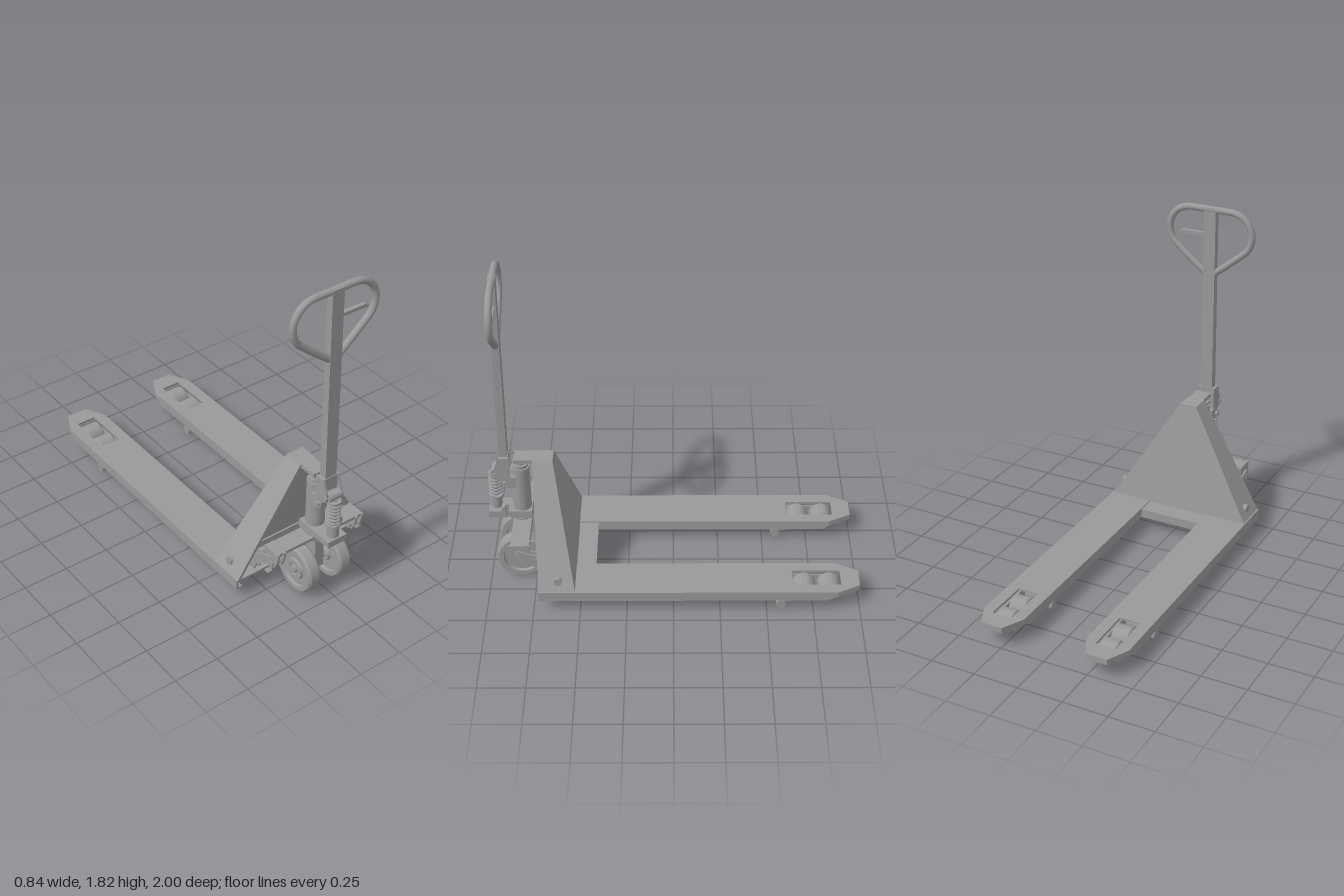
import * as THREE from 'three';
import { toCreasedNormals } from 'three/addons/utils/BufferGeometryUtils.js';

const paint = new THREE.MeshStandardMaterial({ color: 0x999999, side: THREE.DoubleSide });

function add(parent, name, geo, x = 0, y = 0, z = 0) {
  const m = new THREE.Mesh(geo, paint);
  m.name = name;
  m.position.set(x, y, z);
  parent.add(m);
  return m;
}
// Box given by its lower and upper limits on each axis
function box(parent, name, [x0, x1], [y0, y1], [z0, z1]) {
  return add(parent, name, new THREE.BoxGeometry(x1 - x0, y1 - y0, z1 - z0),
    (x0 + x1) / 2, (y0 + y1) / 2, (z0 + z1) / 2);
}
// Cylinder lying along x or standing along y
function cyl(parent, name, axis, r, len, x, y, z, r2 = r) {
  const g = new THREE.CylinderGeometry(r2, r, len, 28);
  if (axis === 'x') g.rotateZ(-Math.PI / 2);
  return add(parent, name, g, x, y, z);
}
const poly = pts => new THREE.Shape(pts.map(p => new THREE.Vector2(...p)));
const slab = (shape, depth) => new THREE.ExtrudeGeometry(shape, { depth, bevelEnabled: false });
// Side profile of (z, y) points, given a width in x
function profile(parent, name, pts, w, x) {
  return add(parent, name, slab(poly(pts), w).translate(0, 0, -w / 2).rotateY(-Math.PI / 2), x);
}
// Plan outline of (x, z) points, extruded down from yTop
function plan(parent, name, shape, yTop, h) {
  return add(parent, name, slab(shape, h).rotateX(Math.PI / 2), 0, yTop, 0);
}
function rod(parent, name, pts, r, seg = 8) {
  const c = new THREE.CatmullRomCurve3(pts.map(p => new THREE.Vector3(...p)), false, 'centripetal');
  return add(parent, name, new THREE.TubeGeometry(c, seg, r, 12, false));
}
// Wheel turned about x from (radius, offset) points
function wheel(parent, name, pts, x, y, z) {
  const g = new THREE.LatheGeometry(pts.map(p => new THREE.Vector2(...p)), 48).rotateZ(-Math.PI / 2);
  return add(parent, name, toCreasedNormals(g, 0.6), x, y, z);
}

function buildFork(s) {
  const g = new THREE.Group();
  g.name = s > 0 ? 'leftFork' : 'rightFork';
  const X = (a, b) => (s > 0 ? [a, b] : [-b, -a]);
  const flip = pts => pts.map(([x, z]) => [s * x, z]);
  // Top plate with the roller window
  const top = poly(flip([[0.18, 0.72], [0.18, -0.88], [0.24, -1], [0.36, -1], [0.42, -0.88], [0.42, 0.72]]));
  top.holes.push(poly(flip([[0.243, -0.64], [0.357, -0.64], [0.357, -0.9], [0.243, -0.9]])));
  plan(g, 'forkPlate', top, 0.125, 0.012);
  // Skirt round the tip and the two deep side walls
  plan(g, 'forkSkirt', poly(flip([[0.18, 0.72], [0.18, -0.88], [0.24, -1], [0.36, -1], [0.42, -0.88], [0.42, 0.72],
    [0.408, 0.72], [0.408, -0.875], [0.353, -0.988], [0.247, -0.988], [0.192, -0.875], [0.192, 0.72]])), 0.113, 0.02);
  for (const x of [0.18, 0.408]) {
    profile(g, 'forkWall', [[0.72, 0.095], [0.72, 0.068], [-0.82, 0.068], [-0.88, 0.095]], 0.012, s * (x + 0.006));
    const lip = x < 0.3 ? [0.19, 0.215] : [0.385, 0.41];
    box(g, 'forkLip', X(...lip), [0.068, 0.078], [-0.5, 0.72]);
  }
  box(g, 'forkRib', X(0.19, 0.41), [0.07, 0.115], [0.5, 0.512]);
  // Load roller carriage
  for (const x of [0.239, 0.361])
    profile(g, 'rollerBracket', [[-0.54, 0.065], [-0.54, 0.03], [-0.6, 0.012], [-0.7, 0.03], [-0.84, 0.03],
      [-0.89, 0.05], [-0.89, 0.09], [-0.6, 0.1]], 0.01, s * x);
  for (const z of [-0.705, -0.84]) {
    wheel(g, 'loadRoller', [[0, -0.052], [0.05, -0.052], [0.062, -0.042], [0.062, 0.042], [0.05, 0.052], [0, 0.052]],
      s * 0.3, 0.063, z);
    cyl(g, 'rollerAxle', 'x', 0.014, 0.15, s * 0.3, 0.062, z);
  }
  cyl(g, 'rockerShaft', 'x', 0.018, 0.23, s * 0.3, 0.038, -0.575);
  for (const x of [0.195, 0.405]) cyl(g, 'guideRoller', 'x', 0.026, 0.022, s * x, 0.038, -0.575);
  box(g, 'rockerBlock', X(0.26, 0.34), [0.015, 0.085], [-0.61, -0.55]);
  // Push rod and lifting link
  rod(g, 'pushRod', [[s * 0.27, 0.088, 0.64], [s * 0.29, 0.086, -0.56]], 0.015);
  for (const x of [0.255, 0.287])
    profile(g, 'liftLink', [[0.85, 0.27], [0.83, 0.3], [0.74, 0.27], [0.66, 0.18], [0.615, 0.07], [0.64, 0.055],
      [0.67, 0.07], [0.72, 0.18]], 0.01, s * x);
  cyl(g, 'linkPin', 'x', 0.018, 0.06, s * 0.271, 0.078, 0.645);
  cyl(g, 'towerBolt', 'x', 0.022, 0.03, s * 0.38, 0.175, 0.615);
  return g;
}

function buildTower() {
  const g = new THREE.Group();
  g.name = 'tower';
  // Depth 0..1 is mapped between the sloping back and the front edge
  const slope = geo => {
    const p = geo.attributes.position;
    for (let i = 0; i < p.count; i++) {
      const k = (p.getY(i) - 0.12) / 0.6;
      const back = 0.525 + 0.115 * k, front = 0.72 + 0.03 * k;
      p.setZ(i, back + (front - back) * p.getZ(i));
    }
    geo.computeVertexNormals();
    return geo;
  };
  const outer = [[-0.415, 0.12], [-0.05, 0.725], [0.05, 0.725], [0.415, 0.12]];
  add(g, 'towerBack', slope(slab(poly(outer), 0.06)));
  add(g, 'towerFlanges', slope(slab(poly([...outer, [0.395, 0.12], [0.04, 0.708], [-0.04, 0.708], [-0.395, 0.12]]), 1)));
  box(g, 'towerCap', [-0.045, 0.045], [0.703, 0.725], [0.64, 0.85]);
  box(g, 'crossMember', [-0.18, 0.18], [0.07, 0.118], [0.42, 0.545]);
  return g;
}

function buildSteering() {
  const g = new THREE.Group();
  g.name = 'steeringUnit';
  // Steer wheels with recessed discs and hubs
  for (const s of [-1, 1]) {
    wheel(g, 'steerWheel', [[0, -0.04], [0.035, -0.04], [0.04, -0.022], [0.095, -0.022], [0.1, -0.038], [0.125, -0.038],
      [0.135, -0.026], [0.135, 0.026], [0.125, 0.038], [0.1, 0.038], [0.095, 0.022], [0.06, 0.022], [0.055, 0.034],
      [0.036, 0.034], [0.034, 0.028], [0, 0.028]], s * 0.1, 0.137, 0.828)
      .rotation.y = s < 0 ? Math.PI : 0;
    cyl(g, 'axleNut', 'x', 0.02, 0.02, s * 0.134, 0.137, 0.828);
  }
  cyl(g, 'wheelAxle', 'x', 0.016, 0.25, 0, 0.137, 0.828);
  box(g, 'axleColumn', [-0.028, 0.028], [0.11, 0.3], [0.79, 0.866]);
  cyl(g, 'swivel', 'y', 0.05, 0.05, 0, 0.315, 0.825, 0.06);
  // Rocker beam with tapered end cheeks and a cross tube behind the wheels
  box(g, 'rockerBeam', [-0.28, 0.28], [0.315, 0.332], [0.77, 0.87]);
  box(g, 'rockerBeamRear', [-0.28, 0.28], [0.285, 0.32], [0.77, 0.782]);
  cyl(g, 'rockerTube', 'x', 0.02, 0.56, 0, 0.25, 0.722);
  for (const x of [-0.275, -0.235, 0.235, 0.275])
    profile(g, 'rockerCheek', [[0.765, 0.332], [0.88, 0.332], [0.87, 0.28], [0.85, 0.235], [0.82, 0.225], [0.795, 0.24],
      [0.775, 0.28]], 0.012, x);
  for (const s of [-1, 1]) cyl(g, 'rockerPin', 'x', 0.018, 0.08, s * 0.255, 0.258, 0.83);
  // Hydraulic pump
  box(g, 'pumpBase', [-0.06, 0.06], [0.345, 0.39], [0.765, 0.885]);
  cyl(g, 'pumpBody', 'y', 0.05, 0.28, 0, 0.52, 0.82);
  cyl(g, 'pumpCollar', 'y', 0.042, 0.02, 0, 0.668, 0.82);
  cyl(g, 'pumpRam', 'y', 0.028, 0.05, 0, 0.685, 0.82);
  box(g, 'plungerBase', [-0.06, 0.06], [0.355, 0.392], [0.88, 1]);
  cyl(g, 'plungerSleeve', 'y', 0.032, 0.07, 0, 0.425, 0.96);
  cyl(g, 'plungerCollar', 'y', 0.038, 0.014, 0, 0.462, 0.96);
  cyl(g, 'plunger', 'y', 0.016, 0.16, 0, 0.54, 0.96);
  cyl(g, 'springCap', 'y', 0.036, 0.014, 0, 0.607, 0.96);
  const coil = [];
  for (let i = 0; i <= 72; i++) {
    const a = i / 12 * Math.PI * 2;
    coil.push([0.03 * Math.cos(a), 0.472 + 0.128 * i / 72, 0.96 + 0.03 * Math.sin(a)]);
  }
  rod(g, 'spring', coil, 0.007, 150);
  // Release pedal
  box(g, 'pedalArm', [0.05, 0.062], [0.36, 0.44], [0.89, 0.925]);
  profile(g, 'pedal', [[0.9, 0.375], [0.925, 0.38], [0.925, 0.44], [0.905, 0.45]], 0.03, 0.077);
  return g;
}

function buildHandle() {
  const g = new THREE.Group();
  g.name = 'handle';
  // Pivot fork at the foot of the shaft
  box(g, 'pivotBlock', [-0.055, 0.055], [0.55, 0.615], [0.845, 0.9]);
  for (const s of [-1, 1])
    profile(g, 'pivotCheek', [[0.872, 0.74], [0.93, 0.74], [0.958, 0.66], [0.958, 0.62], [0.925, 0.6], [0.915, 0.555],
      [0.87, 0.555]], 0.012, s * 0.046);
  box(g, 'shaftSocket', [-0.042, 0.042], [0.66, 0.74], [0.878, 0.93]);
  cyl(g, 'pivotPin', 'x', 0.014, 0.14, 0, 0.58, 0.9);
  cyl(g, 'pressRoller', 'x', 0.025, 0.08, 0, 0.636, 0.95);
  cyl(g, 'rollerPin', 'x', 0.012, 0.115, 0, 0.636, 0.95);
  // Slightly leaning shaft
  profile(g, 'shaft', [[0.882, 0.7], [0.926, 0.7], [0.915, 1.815], [0.877, 1.815]], 0.07, 0);
  // Loop grip
  const half = [];
  for (let i = 0; i <= 12; i++) {
    const a = (90 - 143 * i / 12) * Math.PI / 180;
    half.push([0.12 + 0.128 * Math.cos(a), 1.675 + 0.128 * Math.sin(a), 0.894]);
  }
  half.push([0.11, 1.5, 0.896], [0.015, 1.425, 0.898]);
  const mirrored = half.map(([x, y, z]) => [-x, y, z]).reverse();
  rod(g, 'gripLoop', [...mirrored, [0, 1.803, 0.894], ...half], 0.019, 120);
  // Control lever
  const lever = poly([[0.03, 1.648], [0.18, 1.648], [0.195, 1.644], [0.192, 1.656], [0.178, 1.666], [0.03, 1.666]]);
  add(g, 'controlLever', slab(lever, 0.022), 0, 0, 0.885);
  return g;
}

export function createModel() {
  const model = new THREE.Group();
  model.name = 'palletTruck';
  model.add(buildFork(1), buildFork(-1), buildTower(), buildSteering(), buildHandle());
  return model;
}
